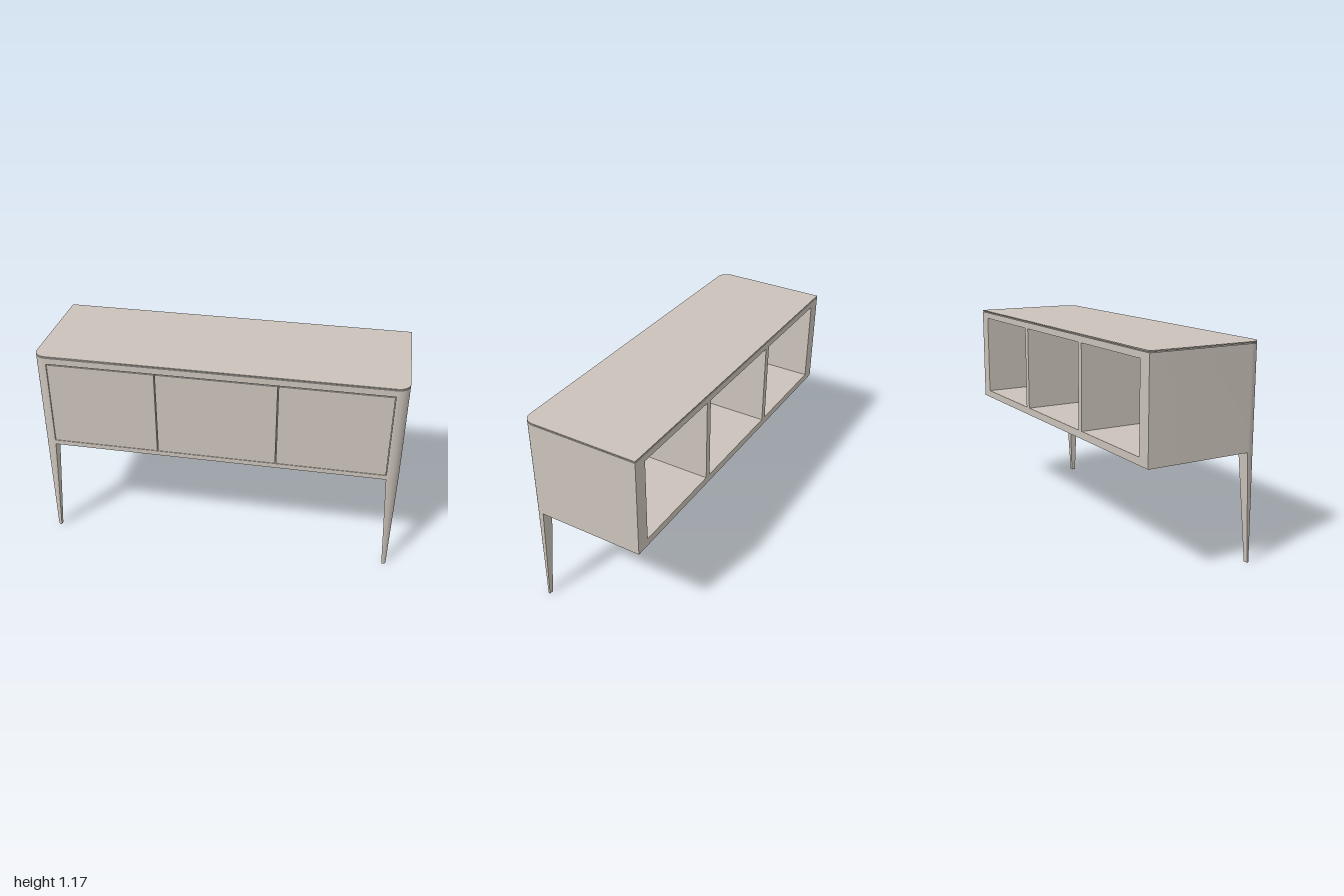
import * as THREE from 'three';
import { toCreasedNormals } from 'three/addons/utils/BufferGeometryUtils.js';

const W = 1, D = 0.33, R = 0.065;             // half width, half depth, front corner radius
const FLOOR = 0.645, CEIL = 1.127;            // compartment opening

// Rounded front corner as [x, z] points, from the side to the front; s is the side
function corner(s, inset = 0) {
  const pts = [];
  for (let i = 0; i <= 12; i++) {
    const a = (i / 12) * Math.PI / 2;
    pts.push([s * (W - R + (R - inset) * Math.cos(a)), D - R + (R - inset) * Math.sin(a)]);
  }
  return pts;
}

const toShape = pts => new THREE.Shape(pts.map(([x, z]) => new THREE.Vector2(x, -z)));

// Plan outline of the whole cabinet
const outline = inset => toShape([
  [-W + inset, -D + inset], [W - inset, -D + inset],
  ...corner(1, inset), ...corner(-1, inset).reverse()]);

// Raises a plan shape from y0 to y1
function raise(shape, y0, y1) {
  const g = new THREE.ExtrudeGeometry(shape, { depth: y1 - y0, bevelEnabled: false });
  g.rotateX(-Math.PI / 2);
  g.translate(0, y0, 0);
  return g;
}

export function createModel() {
  const group = new THREE.Group();
  const paint = new THREE.MeshStandardMaterial({ color: 0xcbc3ba });
  paint.name = 'warm grey paint';

  const add = (name, geometry) => {
    const mesh = new THREE.Mesh(toCreasedNormals(geometry, 0.6), paint);
    mesh.name = name;
    group.add(mesh);
  };
  const box = (name, x0, x1, y0, y1, z0, z1) => {
    const g = new THREE.BoxGeometry(x1 - x0, y1 - y0, z1 - z0);
    g.translate((x0 + x1) / 2, (y0 + y1) / 2, (z0 + z1) / 2);
    add(name, g);
  };

  // Underside rim around a shallow recess
  const rim = outline(0);
  rim.holes.push(new THREE.Path([[-0.9, -0.28], [-0.9, 0.23], [0.9, 0.23], [0.9, -0.28]]
    .map(([x, y]) => new THREE.Vector2(x, y))));
  add('bottomRim', raise(rim, 0.603, 0.63));
  box('floorPanel', -0.93, 0.93, 0.626, FLOOR, -D, 0.3);

  // Ceiling, shadow gap and thin lid
  add('ceilingPanel', raise(outline(0), CEIL - 0.007, 1.156));
  add('shadowGap', raise(outline(0.006), 1.156, 1.16));
  add('topLid', raise(outline(0), 1.16, 1.166));

  for (const s of [1, -1]) {
    // Side wall with the rounded front post
    add('sideWall', raise(toShape([
      [s * 0.92, -D], [s * W, -D], ...corner(s), [s * 0.931, D],
      [s * 0.931, 0.3], [s * 0.92, 0.3]]), 0.63, CEIL - 0.007));

    // Divider between compartments
    const x = s * 0.329;
    box('divider', x - 0.018, x + 0.018, FLOOR, CEIL - 0.007, -D, 0.3);

    // Tapered front leg, rounded outside and square inside
    const leg = raise(toShape([
      [s * 0.931, D - R - 0.004], ...corner(s), [s * 0.931, D]]), 0, 0.603);
    const p = leg.attributes.position;
    for (let i = 0; i < p.count; i++) {
      if (p.getY(i) > 0.3) continue;
      p.setX(i, s * 0.977 + (p.getX(i) - s * 0.965) * 0.34);
      p.setZ(i, 0.309 + (p.getZ(i) - 0.297) * 0.34);
    }
    add('frontLeg', leg);
  }

  // Three doors with narrow gaps
  const edges = [-0.931, -0.331, 0.331, 0.931];
  for (let i = 0; i < 3; i++) {
    box('door', edges[i] + 0.003, edges[i + 1] - 0.003, 0.631, 1.114, 0.295, 0.328);
  }
  return group;
}
